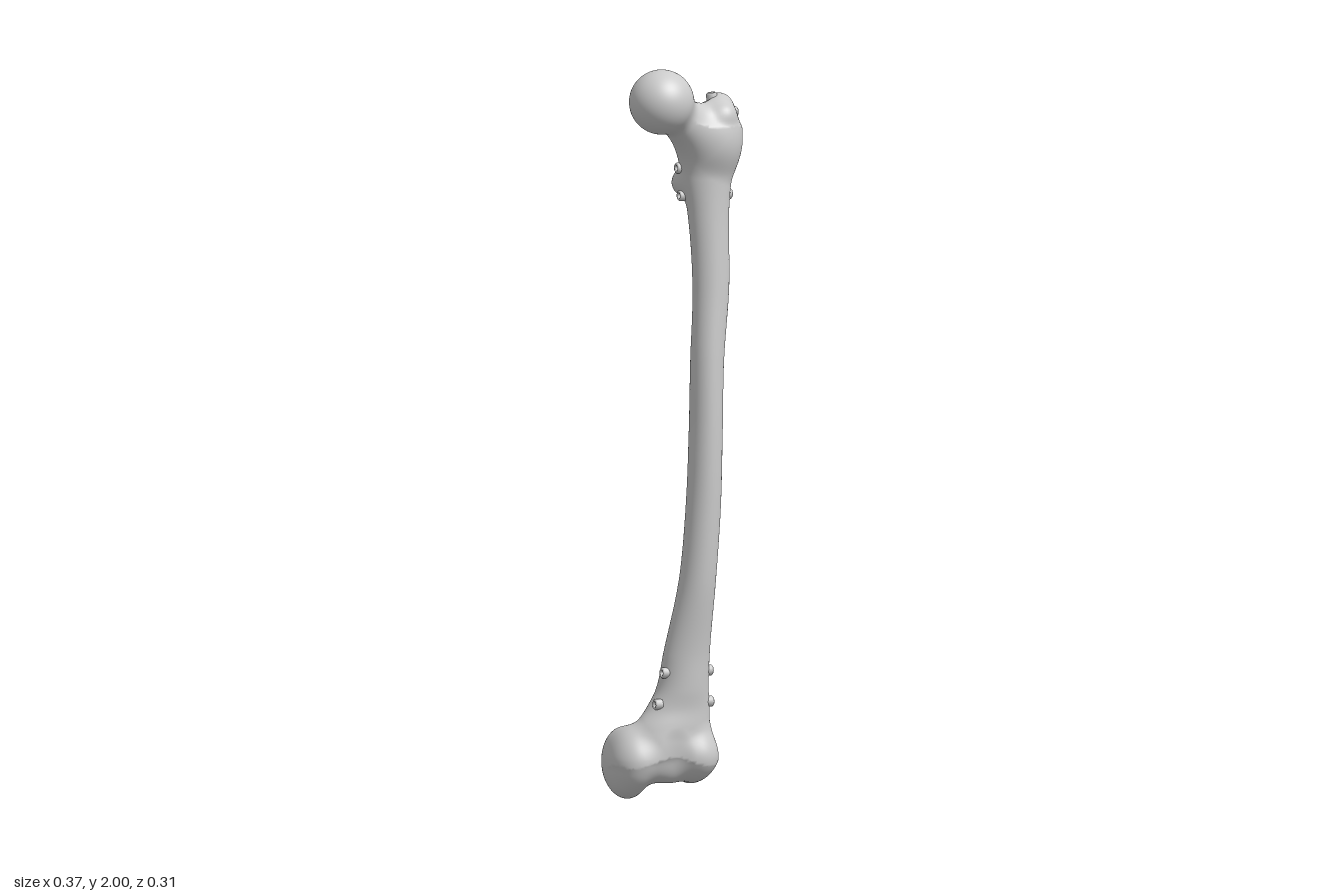
import * as THREE from 'three';

const V = (x, y, z) => new THREE.Vector3(x, y, z);

// Shaft cross-sections: height, then centre x, centre z, half width, half depth
const sections = [
  [0.12, -0.03, 0.012, 0.115, 0.06], [0.2, -0.012, 0.008, 0.105, 0.062], [0.25, 0.006, 0.006, 0.088, 0.059],
  [0.3, 0.017, 0.01, 0.073, 0.058], [0.4, 0.026, 0.02, 0.064, 0.052], [0.6, 0.049, 0.043, 0.05, 0.052],
  [0.8, 0.063, 0.051, 0.047, 0.052], [1.0, 0.07, 0.051, 0.045, 0.053], [1.2, 0.076, 0.046, 0.045, 0.051],
  [1.4, 0.09, 0.036, 0.05, 0.046], [1.6, 0.088, 0.02, 0.057, 0.051], [1.7, 0.087, 0.007, 0.07, 0.062],
  [1.82, 0.092, 0.004, 0.08, 0.068],
];
const shaftAt = new THREE.CubicInterpolant(
  sections.map((s) => s[0]), sections.flatMap((s) => s.slice(1)), 4, new Float32Array(4));

// Distance helpers: negative inside, positive outside
function shaft(p) {
  const [cx, cz, rx, rz] = shaftAt.evaluate(THREE.MathUtils.clamp(p.y, 0.12, 1.82));
  const d = (Math.hypot((p.x - cx) / rx, (p.z - cz) / rz) - 1) * Math.min(rx, rz);
  return Math.max(d, p.y - 1.82, 0.12 - p.y);
}
function ellipsoid(p, [cx, cy, cz], [rx, ry, rz]) {
  const x = (p.x - cx) / rx, y = (p.y - cy) / ry, z = (p.z - cz) / rz;
  const k = Math.hypot(x, y, z);
  return (k * (k - 1)) / Math.max(Math.hypot(x / rx, y / ry, z / rz), 1e-6);
}
function limb(p, a, b, ra, rb) {
  const ab = b.map((v, i) => v - a[i]), ap = [p.x - a[0], p.y - a[1], p.z - a[2]];
  const dot = (u, v) => u[0] * v[0] + u[1] * v[1] + u[2] * v[2];
  const t = THREE.MathUtils.clamp(dot(ap, ab) / dot(ab, ab), 0, 1);
  return Math.hypot(...ap.map((v, i) => v - ab[i] * t)) - ra - (rb - ra) * t;
}
const ball = (p, c, r) => Math.hypot(p.x - c[0], p.y - c[1], p.z - c[2]) - r;
function join(a, b, k) {
  const h = Math.max(k - Math.abs(a - b), 0) / k;
  return Math.min(a, b) - h * h * k * 0.25;
}
const carve = (a, b, k) => -join(-a, b, k);

function bone(p) {
  let d = shaft(p);
  if (p.y > 1.5) {
    // greater trochanter, its curved crest, and the pit behind the neck
    d = join(d, ellipsoid(p, [0.116, 1.8, 0.005], [0.067, 0.112, 0.079]), 0.03);
    d = join(d, limb(p, [-0.03, 1.892, 0.047], [0.085, 1.79, 0.012], 0.057, 0.062), 0.05);
    d = join(d, limb(p, [0.095, 1.86, -0.048], [0.132, 1.882, -0.015], 0.028, 0.03), 0.02);
    d = join(d, limb(p, [0.132, 1.882, -0.015], [0.125, 1.865, 0.045], 0.03, 0.03), 0.02);
    d = carve(d, ball(p, [0.076, 1.89, -0.022], 0.031), 0.02);
    // lesser trochanter and femoral head
    d = join(d, ball(p, [0.032, 1.675, -0.03], 0.028), 0.045);
    d = join(d, ball(p, [-0.06, 1.912, 0.063], 0.088), 0.02);
  }
  if (p.y < 0.55) {
    // condyles and their front lobes
    d = join(d, ellipsoid(p, [-0.126, 0.1, -0.04], [0.061, 0.098, 0.105]), 0.04);
    d = join(d, ellipsoid(p, [0.055, 0.12, -0.045], [0.056, 0.085, 0.11]), 0.04);
    d = join(d, ball(p, [0.052, 0.115, 0.022], 0.054), 0.03);
    d = join(d, ball(p, [-0.105, 0.105, 0.015], 0.054), 0.03);
    d = join(d, ellipsoid(p, [-0.025, 0.125, 0.012], [0.09, 0.08, 0.055]), 0.03);
    // notch between the condyles and the kneecap groove
    d = carve(d, limb(p, [-0.035, 0.06, -0.16], [-0.03, 0.02, -0.02], 0.042, 0.025), 0.03);
    d = carve(d, limb(p, [-0.025, 0, 0.095], [-0.02, 0.16, 0.115], 0.034, 0.034), 0.03);
  }
  return d;
}

function slope(p) {
  const e = 0.0015, f = (x, y, z) => bone(V(p.x + x, p.y + y, p.z + z));
  return V(f(e, 0, 0) - f(-e, 0, 0), f(0, e, 0) - f(0, -e, 0), f(0, 0, e) - f(0, 0, -e)).divideScalar(2 * e);
}

// Skin the blended form over a box of small cells
function skin(min, max, step) {
  const n = [0, 1, 2].map((i) => Math.ceil((max[i] - min[i]) / step[i]) + 1);
  const stride = [1, n[0], n[0] * n[1]];
  const at = (i, j, k) => V(min[0] + i * step[0], min[1] + j * step[1], min[2] + k * step[2]);
  const field = new Float32Array(n[0] * n[1] * n[2]);
  const each = (m, fn) => {
    for (let k = 0; k < n[2] - m; k++) for (let j = 0; j < n[1] - m; j++) for (let i = 0; i < n[0] - m; i++)
      fn(i, j, k, i + j * stride[1] + k * stride[2]);
  };
  each(0, (i, j, k, id) => { field[id] = bone(at(i, j, k)); });

  // one vertex per crossed cell, settled onto the surface
  const vertex = new Int32Array(field.length).fill(-1);
  const pos = [], nor = [], index = [];
  each(1, (i, j, k, id) => {
    const sum = V(0, 0, 0);
    let count = 0;
    for (let c = 0; c < 8; c++) for (let a = 0; a < 3; a++) {
      if (c & (1 << a)) continue;
      const o = [c & 1, (c >> 1) & 1, c >> 2];
      const from = id + o[0] + o[1] * stride[1] + o[2] * stride[2];
      const v0 = field[from], v1 = field[from + stride[a]];
      if ((v0 < 0) === (v1 < 0)) continue;
      o[a] += v0 / (v0 - v1);
      sum.add(at(i + o[0], j + o[1], k + o[2]));
      count++;
    }
    if (!count) return;
    const p = sum.divideScalar(count), g = slope(p);
    p.addScaledVector(g, THREE.MathUtils.clamp(-bone(p) / Math.max(g.lengthSq(), 0.1), -0.004, 0.004));
    vertex[id] = pos.length / 3;
    pos.push(p.x, p.y, p.z);
    nor.push(...slope(p).normalize().toArray());
  });

  // one quad round every crossed edge
  each(1, (i, j, k, id) => {
    for (let a = 0; a < 3; a++) {
      const b = stride[(a + 1) % 3], c = stride[(a + 2) % 3];
      if ((field[id] < 0) === (field[id + stride[a]] < 0)) continue;
      if ([i, j, k][(a + 1) % 3] === 0 || [i, j, k][(a + 2) % 3] === 0) continue;
      const q = [id, id - b, id - b - c, id - c].map((v) => vertex[v]);
      if (q.some((v) => v < 0)) continue;
      if (field[id] >= 0) q.reverse();
      index.push(q[0], q[1], q[2], q[0], q[2], q[3]);
    }
  });
  const geo = new THREE.BufferGeometry();
  geo.setAttribute('position', new THREE.Float32BufferAttribute(pos, 3));
  geo.setAttribute('normal', new THREE.Float32BufferAttribute(nor, 3));
  geo.setIndex(index);
  return geo;
}

export function createModel() {
  const group = new THREE.Group();
  const material = new THREE.MeshStandardMaterial({ color: 0xcccccc, roughness: 0.7 });
  const add = (name, geo) => {
    const mesh = new THREE.Mesh(geo, material);
    mesh.name = name;
    group.add(mesh);
    return mesh;
  };

  add('kneeEnd', skin([-0.22, -0.03, -0.19], [0.15, 0.45, 0.13], [0.007, 0.007, 0.007]));
  add('shaft', skin([-0.07, 0.43, -0.08], [0.19, 1.58, 0.14], [0.007, 0.02, 0.007]));
  add('hipEnd', skin([-0.18, 1.55, -0.12], [0.22, 2.03, 0.18], [0.007, 0.007, 0.007]));

  // Small hollow pegs standing on the surface
  const profile = [[0.007, 0], [0.007, 0.009], [0.011, 0.011], [0.015, 0.007], [0.015, -0.01]];
  const pegGeo = new THREE.LatheGeometry(profile.map(([r, y]) => new THREE.Vector2(r, y)).reverse(), 16);
  const peg = (name, start, dir) => {
    const p = V(...start), out = V(...dir).normalize();
    for (let i = 0; i < 400 && bone(p) > 0.0005; i++) p.addScaledVector(out, -0.001);
    const mesh = add(name, pegGeo);
    mesh.position.copy(p);
    mesh.quaternion.setFromUnitVectors(V(0, 1, 0), out);
  };
  for (const [y, z] of [[1.865, -0.012], [1.645, 0.005], [0.35, 0.02], [0.265, 0.02]])
    peg('outerPeg', [0.26, y, z], [1, 0, 0]);
  for (const [y, z] of [[1.72, 0.02], [1.645, 0.025], [0.35, 0.05], [0.265, 0.05]])
    peg('innerPeg', [-0.2, y, z], [-1, 0, 0.1]);
  peg('topPeg', [0.1, 1.96, 0.0], [-0.1, 1, 0]);
  return group;
}
